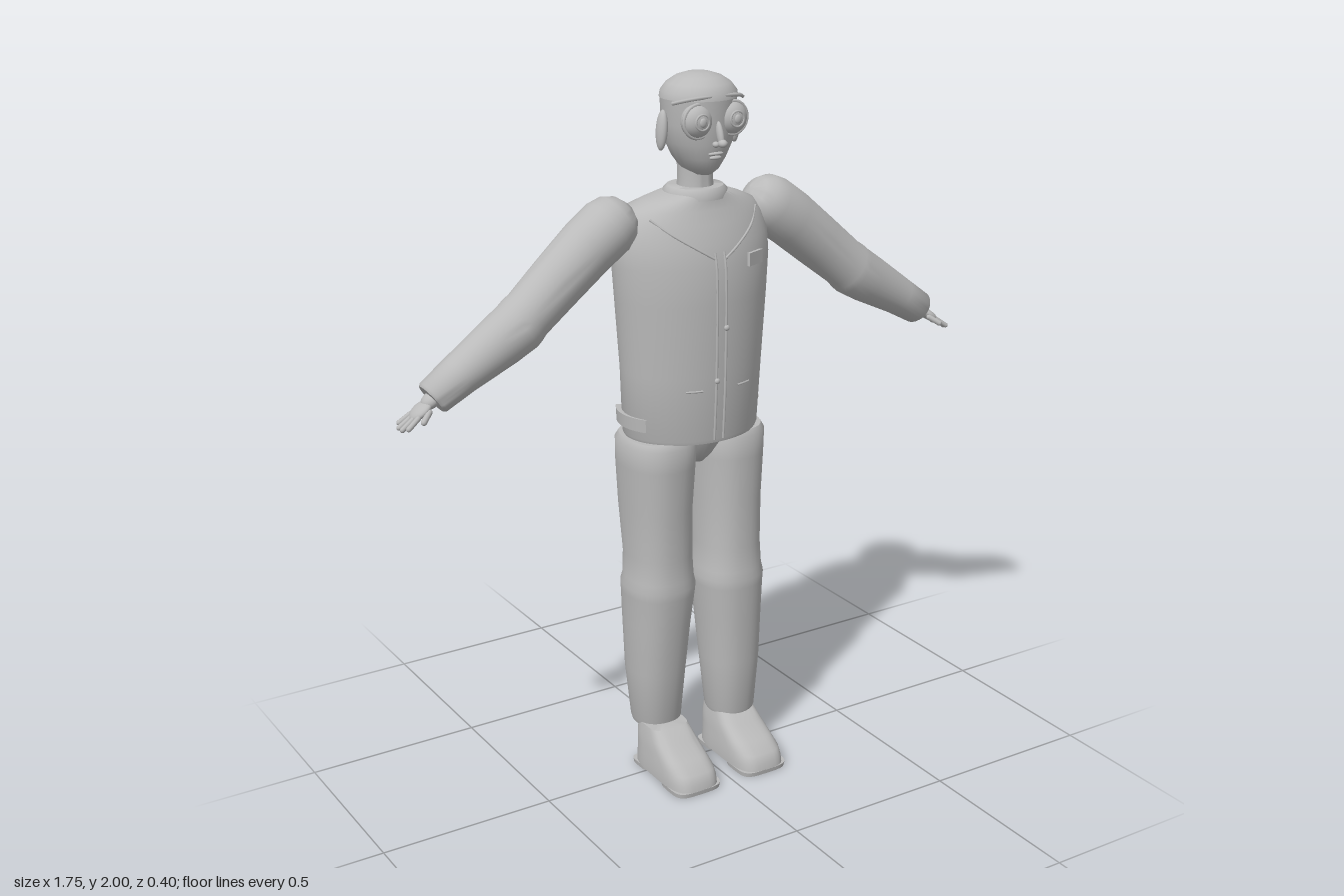
import * as THREE from 'three';
import { toCreasedNormals } from 'three/addons/utils/BufferGeometryUtils.js';

const clay = new THREE.MeshStandardMaterial({ color: 0xbababa });
clay.name = 'clay grey';

// Closed body through oval rings [y, centreX, centreZ, radiusX, radiusZ], lowest first; power > 2 squares the ovals
function loft(rings, power = 2, sides = 36) {
  const pos = [], idx = [];
  const f = (v) => Math.sign(v) * Math.abs(v) ** (2 / power);
  for (const [y, cx, cz, rx, rz] of rings) {
    for (let j = 0; j < sides; j++) {
      const t = (j / sides) * Math.PI * 2;
      pos.push(cx + rx * f(Math.cos(t)), y, cz + rz * f(Math.sin(t)));
    }
  }
  const last = rings.length - 1, bottom = rings.length * sides, top = bottom + 1;
  for (const r of [rings[0], rings[last]]) pos.push(r[1], r[0], r[2]);
  for (let j = 0; j < sides; j++) {
    const k = (j + 1) % sides;
    for (let i = 0; i < last; i++) {
      const a = i * sides + j, b = i * sides + k;
      idx.push(a, a + sides, b, b, a + sides, b + sides);
    }
    idx.push(bottom, j, k, top, last * sides + k, last * sides + j);
  }
  const g = new THREE.BufferGeometry();
  g.setAttribute('position', new THREE.Float32BufferAttribute(pos, 3));
  g.setIndex(idx);
  return toCreasedNormals(g, 0.8);
}

function add(parent, name, geometry, x = 0, y = 0, z = 0) {
  const m = new THREE.Mesh(geometry, clay);
  m.name = name;
  m.position.set(x, y, z);
  parent.add(m);
  return m;
}

const ball = (rx, ry, rz) => new THREE.SphereGeometry(1, 24, 16).scale(rx, ry, rz);
const cord = (points, r) =>
  new THREE.TubeGeometry(new THREE.CatmullRomCurve3(points), 24, r, 6);

const torsoRings = [
  [1.01, 0, -0.05, 0.193, 0.15],
  [1.02, 0, -0.05, 0.198, 0.152],
  [1.2, 0, -0.045, 0.206, 0.158],
  [1.4, 0, -0.044, 0.222, 0.159],
  [1.5, 0, -0.045, 0.23, 0.156],
  [1.56, 0, -0.049, 0.23, 0.146],
  [1.61, 0, -0.053, 0.215, 0.133],
  [1.645, 0, -0.052, 0.19, 0.118],
  [1.665, 0, -0.04, 0.145, 0.1],
  [1.685, 0, -0.025, 0.09, 0.083],
];

// Point on the front of the torso
function onChest(x, y, lift = 0.001) {
  let i = 0;
  while (i < torsoRings.length - 2 && torsoRings[i + 1][0] < y) i++;
  const a = torsoRings[i], b = torsoRings[i + 1], t = (y - a[0]) / (b[0] - a[0]);
  const [, , cz, rx, rz] = a.map((v, k) => v + (b[k] - v) * t);
  return new THREE.Vector3(x, y, cz + rz * Math.sqrt(Math.max(0, 1 - (x / rx) ** 2)) + lift);
}

function buildTorso(parent) {
  const torso = new THREE.Group();
  torso.name = 'torso';
  parent.add(torso);
  add(torso, 'vest', loft(torsoRings, 2, 48));
  add(torso, 'collar', loft([
    [1.67, 0, -0.022, 0.088, 0.086], [1.69, 0, -0.022, 0.086, 0.084], [1.7, 0, -0.022, 0.076, 0.076],
  ]));
  add(torso, 'pelvis', loft([
    [0.922, 0, -0.07, 0.035, 0.075], [0.95, 0, -0.07, 0.055, 0.105],
    [1.0, 0, -0.06, 0.09, 0.125], [1.015, 0, -0.06, 0.1, 0.13],
  ]));
  // Front closing with its pull and studs
  for (const x of [-0.016, 0.012]) {
    const ys = [1.02, 1.15, 1.28, 1.4, 1.5, 1.54];
    add(torso, 'zipEdge', cord(ys.map((y) => onChest(x, y)), 0.004));
  }
  for (const [x, y] of [[0.012, 1.335], [-0.016, 1.19]]) {
    add(torso, 'stud', ball(0.008, 0.008, 0.006), ...onChest(x, y, 0.004).toArray());
  }
  for (const s of [-1, 1]) {
    // Slanted yoke seam
    const seam = [[0.012, 1.52], [0.06, 1.55], [0.12, 1.59], [0.165, 1.63]];
    add(torso, 'yokeSeam', cord(seam.map(([x, y]) => onChest(s * x, y)), 0.0035));
    add(torso, 'pocketSeam', cord([0.055, 0.075, 0.1].map((x) => onChest(s * x, 1.165)), 0.003));
    // Side strap wrapped around the hip
    const strap = new THREE.CylinderGeometry(0.21, 0.208, 0.037, 16, 1, false,
      s * Math.PI / 2 - 0.5, 1.0).scale(1, 1, 0.8);
    add(torso, 'sideStrap', strap, 0, 1.063, -0.06);
  }
  const badge = add(torso, 'badge', new THREE.BoxGeometry(0.06, 0.036, 0.009),
    ...onChest(0.118, 1.507, 0.003).toArray());
  badge.rotation.y = 0.4;
}

function buildHead(parent) {
  const head = new THREE.Group();
  head.name = 'head';
  parent.add(head);
  add(head, 'neck', loft([
    [1.68, 0, -0.022, 0.05, 0.054], [1.72, 0, -0.022, 0.046, 0.05], [1.78, 0, -0.022, 0.048, 0.052],
  ]));
  add(head, 'skull', loft([
    [1.735, 0, 0.002, 0.025, 0.042], [1.75, 0, -0.003, 0.046, 0.066], [1.78, 0, -0.005, 0.068, 0.082],
    [1.82, 0, -0.005, 0.089, 0.092], [1.87, 0, -0.005, 0.099, 0.097], [1.94, 0, -0.005, 0.102, 0.1],
  ]));
  add(head, 'cap', loft([
    [1.935, 0, -0.005, 0.104, 0.103], [1.952, 0, -0.005, 0.101, 0.1], [1.972, 0, -0.005, 0.085, 0.086],
    [1.988, 0, -0.005, 0.06, 0.062], [1.997, 0, -0.005, 0.032, 0.033], [2.0, 0, -0.005, 0.006, 0.006],
  ]));
  add(head, 'brow', cord([
    new THREE.Vector3(-0.108, 1.93, 0.04), new THREE.Vector3(-0.07, 1.943, 0.078),
    new THREE.Vector3(0, 1.947, 0.09),
    new THREE.Vector3(0.07, 1.943, 0.078), new THREE.Vector3(0.108, 1.93, 0.04),
  ], 0.005));
  for (const s of [-1, 1]) {
    add(head, 'eye', ball(0.044, 0.044, 0.034), s * 0.053, 1.885, 0.07);
    add(head, 'eyeRim', new THREE.TorusGeometry(0.043, 0.005, 8, 32), s * 0.053, 1.885, 0.078);
    add(head, 'iris', new THREE.TorusGeometry(0.02, 0.003, 8, 24), s * 0.053, 1.885, 0.1);
    add(head, 'pupil', ball(0.01, 0.012, 0.005), s * 0.053, 1.885, 0.103);
    const ear = add(head, 'ear', ball(0.014, 0.053, 0.02), s * 0.11, 1.855, -0.008);
    ear.rotation.z = s * 0.08;
    add(head, 'nostril', ball(0.009, 0.008, 0.01), s * 0.013, 1.825, 0.1);
  }
  const bridge = add(head, 'noseBridge', ball(0.009, 0.035, 0.012), 0, 1.85, 0.1);
  bridge.rotation.x = -0.3;
  add(head, 'noseTip', ball(0.012, 0.011, 0.014), 0, 1.828, 0.112);
  add(head, 'upperLip', ball(0.023, 0.005, 0.008), 0, 1.797, 0.08);
  add(head, 'lowerLip', ball(0.018, 0.006, 0.008), 0, 1.786, 0.078);
}

// Arm hangs along its own -y, then swings outward
function buildArm(parent, s) {
  const arm = new THREE.Group();
  arm.name = s > 0 ? 'leftArm' : 'rightArm';
  arm.position.set(s * 0.255, 1.61, -0.045);
  arm.rotation.z = s * 0.952;
  parent.add(arm);
  const rings = [
    [-0.645, 0, 0.013, 0.043, 0.046], [-0.638, 0, 0.013, 0.049, 0.052], [-0.55, -0.005, 0.013, 0.056, 0.058],
    [-0.42, -0.016, 0.014, 0.07, 0.066], [-0.355, -0.02, 0.014, 0.074, 0.072], [-0.335, -0.018, 0.013, 0.074, 0.072],
    [-0.315, -0.016, 0.012, 0.071, 0.07], [-0.2, -0.008, 0.006, 0.076, 0.074], [-0.08, 0, 0.002, 0.08, 0.079],
    [0, 0, 0, 0.081, 0.081], [0.04, 0, 0, 0.071, 0.071], [0.065, 0, 0, 0.049, 0.049], [0.08, 0, 0, 0.015, 0.015],
  ];
  add(arm, 'sleeve', loft(rings.map(([y, x, z, a, b]) => [y, s * x, z, a, b]), 2, 32));
  add(arm, 'wrist', ball(0.02, 0.03, 0.026), 0, -0.648, 0.015);
  add(arm, 'palm', ball(0.014, 0.035, 0.031), 0, -0.685, 0.016);
  for (let i = 0; i < 4; i++) {
    const u = i - 1.5, length = 0.048 - Math.abs(u) * 0.007;
    const finger = add(arm, 'finger', new THREE.CapsuleGeometry(0.007, length, 4, 10),
      0, -0.735 + Math.abs(u) * 0.007, 0.016 + u * 0.018);
    finger.rotation.x = -u * 0.12;
  }
  const thumb = add(arm, 'thumb', new THREE.CapsuleGeometry(0.008, 0.035, 4, 10), -s * 0.008, -0.69, 0.051);
  thumb.rotation.x = -0.55;
}

function buildLeg(parent, s) {
  const leg = new THREE.Group();
  leg.name = s > 0 ? 'leftLeg' : 'rightLeg';
  parent.add(leg);
  // The right leg trails slightly backward
  const trail = (y) => (s > 0 ? 0 : -0.06 * (1 - y));
  const rings = [
    [0.125, 0.11, -0.012, 0.064, 0.068], [0.14, 0.11, -0.012, 0.069, 0.072], [0.3, 0.112, -0.02, 0.082, 0.09],
    [0.45, 0.109, -0.025, 0.091, 0.102], [0.54, 0.106, -0.027, 0.098, 0.109], [0.565, 0.106, -0.027, 0.1, 0.11],
    [0.59, 0.106, -0.027, 0.094, 0.105], [0.66, 0.107, -0.032, 0.09, 0.105], [0.8, 0.11, -0.046, 0.093, 0.117],
    [0.93, 0.111, -0.05, 0.1, 0.124], [0.995, 0.111, -0.05, 0.103, 0.124], [1.012, 0.111, -0.05, 0.093, 0.115],
  ];
  add(leg, 'trouser', loft(rings.map(([y, x, z, a, b]) => [y, s * x, z + trail(y), a, b]), 2.3));

  // Shoe with separate tread pads
  const x = s > 0 ? 0.108 : -0.115;
  add(leg, 'shoe', loft([
    [0.012, x, 0.06, 0.077, 0.14], [0.03, x, 0.058, 0.077, 0.138], [0.055, x, 0.052, 0.074, 0.132],
    [0.08, x, 0.03, 0.071, 0.11], [0.11, x, 0.003, 0.067, 0.083], [0.14, x, -0.015, 0.06, 0.062],
  ], 3.6));
  add(leg, 'sole', loft([[0, x, 0.135, 0.074, 0.063], [0.013, x, 0.135, 0.076, 0.065]], 4));
  add(leg, 'heel', loft([[0, x, -0.035, 0.072, 0.043], [0.013, x, -0.035, 0.074, 0.045]], 5));
}

export function createModel() {
  const figure = new THREE.Group();
  figure.name = 'figure';
  buildTorso(figure);
  buildHead(figure);
  for (const s of [1, -1]) {
    buildArm(figure, s);
    buildLeg(figure, s);
  }
  return figure;
}
